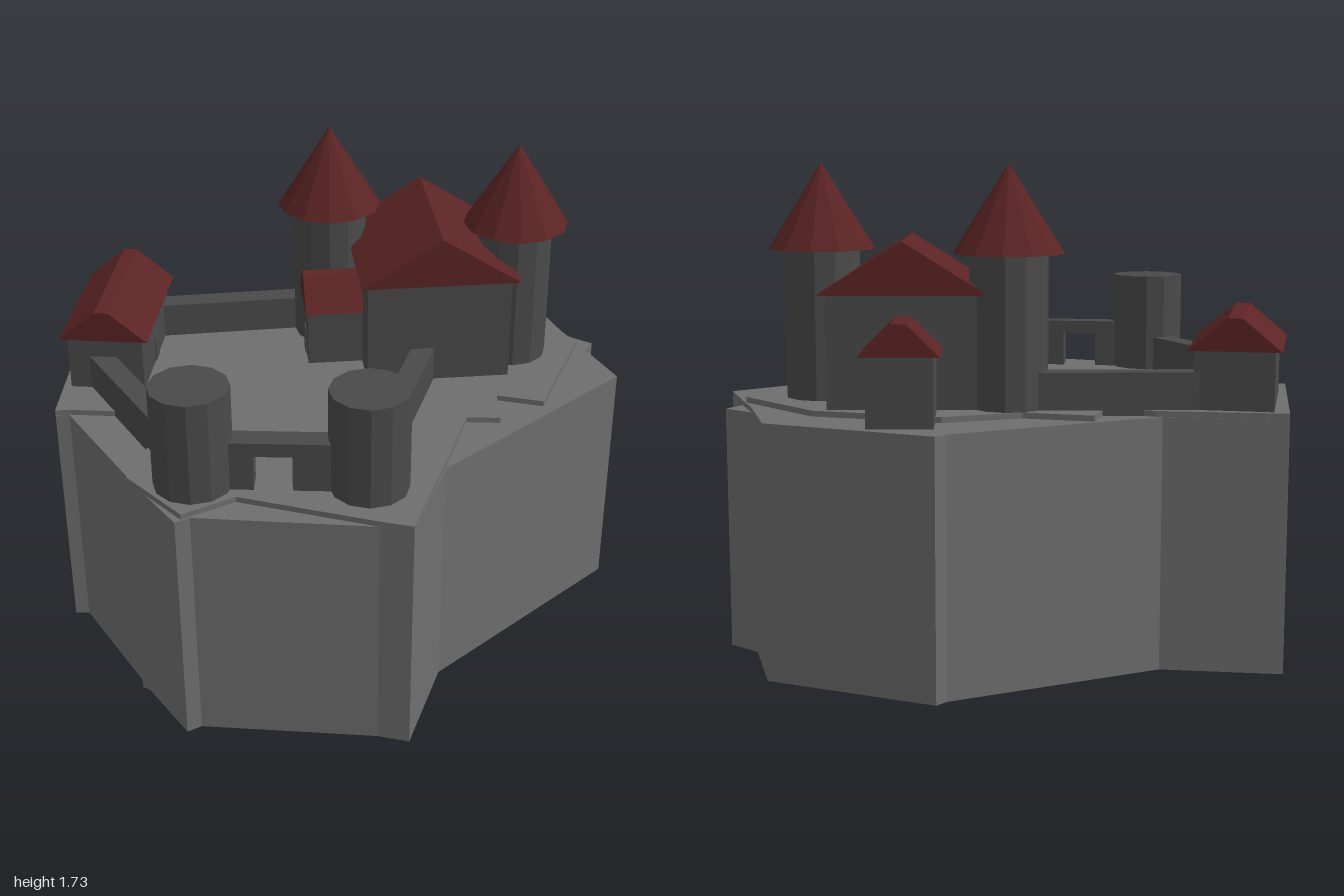
import * as THREE from 'three';

const rock = new THREE.MeshStandardMaterial({ color: 0x6e6e6e, name: 'rock grey' });
const stone = new THREE.MeshStandardMaterial({ color: 0x4a4a4a, name: 'stone grey' });
const tile = new THREE.MeshStandardMaterial({ color: 0x5c2424, name: 'roof red' });

const GROUND = 0.86; // buildings sink slightly into the rock

function add(parent, name, geometry, material, x = 0, y = 0, z = 0) {
  const mesh = new THREE.Mesh(geometry, material);
  mesh.name = name;
  mesh.position.set(x, y, z);
  parent.add(mesh);
  return mesh;
}

// Vertical prism from an outline of [x, z] corners
function prism(parent, name, outline, bottom, top) {
  const shape = new THREE.Shape(outline.map(([x, z]) => new THREE.Vector2(x, -z)));
  const geometry = new THREE.ExtrudeGeometry(shape, { depth: top - bottom, bevelEnabled: false });
  geometry.rotateX(-Math.PI / 2);
  add(parent, name, geometry, rock, 0, bottom, 0);
}

// Round tower, with an optional pointed roof
function tower(parent, name, x, z, top, roofed) {
  const g = new THREE.Group();
  g.name = name;
  g.position.set(x, 0, z);
  const body = new THREE.CylinderGeometry(0.135, 0.135, top - GROUND, 12).toNonIndexed();
  body.computeVertexNormals();
  add(g, 'towerBody', body, stone, 0, (top + GROUND) / 2, 0);
  if (roofed) {
    const cone = new THREE.ConeGeometry(0.19, 0.3, 12).toNonIndexed();
    cone.computeVertexNormals();
    add(g, 'towerRoof', cone, tile, 0, top + 0.15, 0);
  }
  parent.add(g);
}

// Gabled building; the ridge runs along its local z
function house(parent, name, o) {
  const g = new THREE.Group();
  g.name = name;
  g.position.set(o.x, 0, o.z);
  g.rotation.y = o.turn;
  add(g, 'houseWalls', new THREE.BoxGeometry(o.wallW, o.eave - GROUND, o.wallL), stone, 0, (o.eave + GROUND) / 2, 0);
  const h = o.roofW / 2, f = o.flat / 2, rise = o.ridge - o.eave;
  const pts = f ? [[-h, 0], [h, 0], [f, rise], [-f, rise]] : [[-h, 0], [h, 0], [0, rise]];
  const shape = new THREE.Shape(pts.map(([x, y]) => new THREE.Vector2(x, y)));
  const roof = new THREE.ExtrudeGeometry(shape, { depth: o.roofL, bevelEnabled: false });
  add(g, 'gableRoof', roof, tile, 0, o.eave, -o.roofL / 2);
  if (o.door) { // thin door plate on one wall
    const door = add(g, 'door', new THREE.BoxGeometry(0.06, 0.1, 0.008), stone);
    if (o.door === 'end') door.position.set(0, 0.95, -o.wallL / 2);
    else {
      door.position.set(o.wallW / 2, 0.95, 0);
      door.rotation.y = Math.PI / 2;
    }
  }
  parent.add(g);
}

// Straight wall piece between two [x, z] points
function wall(parent, name, [ax, az], [bx, bz], bottom, top) {
  const dx = bx - ax, dz = bz - az;
  const geometry = new THREE.BoxGeometry(Math.hypot(dx, dz), top - bottom, 0.08);
  add(parent, name, geometry, stone, (ax + bx) / 2, (top + bottom) / 2, (az + bz) / 2)
    .rotation.y = Math.atan2(-dz, dx);
}

export function createModel() {
  const model = new THREE.Group();
  model.name = 'castle';

  // Cliff, a low corner ledge and the jagged courtyard slab
  prism(model, 'cliff', [
    [-0.63, -0.92], [-0.27, -0.7], [0.52, -0.7], [0.565, -0.72], [0.99, -0.26], [0.935, 0.06],
    [0.92, 0.23], [0.895, 0.455], [0, 0.655], [-0.29, 0.91], [-0.37, 0.83], [-0.87, 0.475],
    [-0.925, 0.475], [-0.945, 0.21], [-0.96, 0.18], [-0.945, 0.165], [-0.957, -0.32], [-1, -0.345],
  ], 0, 0.882);
  prism(model, 'cornerLedge', [[0.8, -0.05], [0.935, 0.06], [0.995, 0.18], [0.915, 0.23], [0.8, 0.2]], 0, 0.865);
  prism(model, 'courtyardSlab', [
    [-1, -0.345], [-0.63, -0.92], [-0.25, -0.685], [-0.13, -0.56], [-0.02, -0.685], [0.17, -0.53],
    [0.45, -0.5], [0.8, -0.2], [0.92, 0.18], [0.53, 0.49], [0.41, 0.37], [0.33, 0.505], [0.23, 0.44],
    [0, 0.65], [-0.29, 0.91], [-0.37, 0.83], [-0.7, 0.47], [-0.9, 0.47], [-0.96, 0.18],
    [-0.65, -0.115], [-0.95, -0.32],
  ], 0.86, 0.902);

  // Towers
  tower(model, 'leftGateTower', -0.29, 0.635, 1.27, false);
  tower(model, 'rightGateTower', -0.78, 0.32, 1.27, false);
  tower(model, 'backKeepTower', 0.16, -0.395, 1.425, true);
  tower(model, 'frontKeepTower', 0.655, 0.1, 1.425, true);

  // Keep with its two annexes, and the long barn
  const turn = -0.43;
  house(model, 'keep', { x: 0.405, z: -0.08, turn, wallW: 0.52, wallL: 0.52, roofW: 0.575, roofL: 0.57, eave: 1.29, ridge: 1.47, flat: 0 });
  const annex = { wallW: 0.22, wallL: 0.23, roofW: 0.266, roofL: 0.25, eave: 1.115, ridge: 1.222, flat: 0.05 };
  house(model, 'backAnnex', { ...annex, x: 0.57, z: -0.446, turn });
  house(model, 'courtyardAnnex', { ...annex, x: 0.095, z: -0.236, turn: turn + Math.PI / 2, door: 'end' });
  house(model, 'barn', { x: -0.63, z: -0.597, turn: -0.62, wallW: 0.27, wallL: 0.49, roofW: 0.318, roofL: 0.534, eave: 1.105, ridge: 1.217, flat: 0.05, door: 'side' });

  // Curtain walls
  wall(model, 'frontWall', [-0.29, 0.635], [0.25, 0.125], GROUND, 1.03);
  wall(model, 'sideWall', [-0.78, 0.32], [-0.78, -0.45], GROUND, 1.03);
  wall(model, 'backWall', [-0.45, -0.71], [0.1, -0.475], GROUND, 1.03);

  // Gate wall with an opening under a lintel
  const at = (t) => [-0.78 + 0.49 * t, 0.32 + 0.315 * t];
  wall(model, 'gateWallRight', at(0), at(0.35), GROUND, 1.08);
  wall(model, 'gateWallLeft', at(0.57), at(1), GROUND, 1.08);
  wall(model, 'gateLintel', at(0.35), at(0.57), 1.03, 1.08);
  return model;
}
